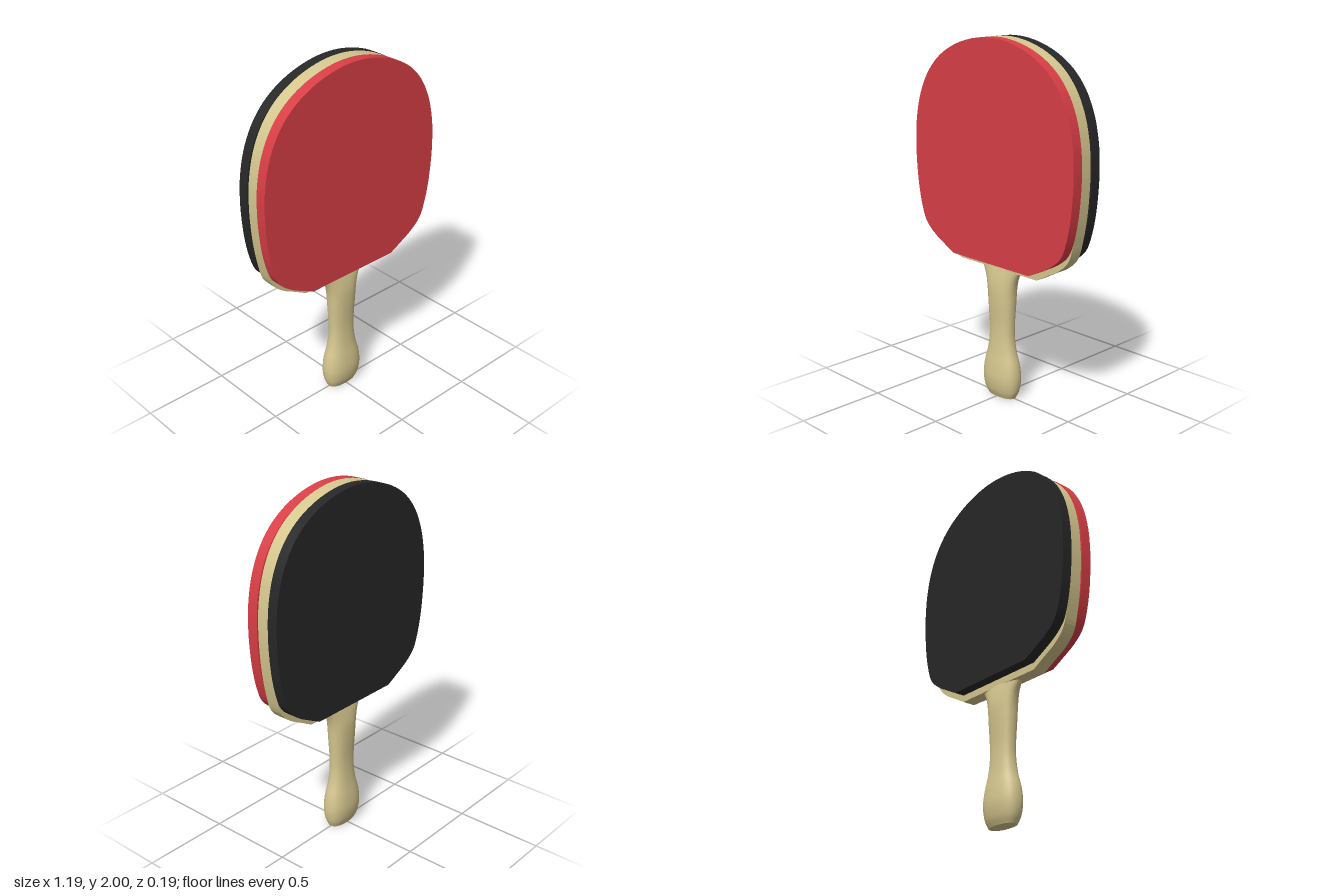
import * as THREE from 'three';

const mat = (name, color) => {
  const m = new THREE.MeshStandardMaterial({ color });
  m.name = name;
  return m;
};

// Symmetric outline: a smooth curve over the top, closed by a straight bottom edge
function outline(half) {
  const pts = [
    ...half.map(([x, y]) => new THREE.Vector2(x, y)),
    ...half.slice(0, -1).reverse().map(([x, y]) => new THREE.Vector2(-x, y)),
  ];
  return new THREE.Shape(new THREE.SplineCurve(pts).getPoints(120));
}

function plate(name, shape, z0, z1, material) {
  const geo = new THREE.ExtrudeGeometry(shape, { depth: z1 - z0, bevelEnabled: false });
  geo.translate(0, 0, z0);
  const mesh = new THREE.Mesh(geo, material);
  mesh.name = name;
  return mesh;
}

// Handle: rounded oval sections swept up a curved profile of [half width, y, half depth]
function handleGeometry() {
  const sections = [
    [0.095, 0, 0.045], [0.113, 0.04, 0.062], [0.123, 0.11, 0.073], [0.115, 0.19, 0.068],
    [0.093, 0.27, 0.057], [0.081, 0.35, 0.051], [0.081, 0.43, 0.05], [0.088, 0.55, 0.056],
    [0.096, 0.64, 0.057], [0.113, 0.7, 0.05], [0.15, 0.765, 0.037],
  ];
  const curve = new THREE.CatmullRomCurve3(sections.map((s) => new THREE.Vector3(...s)));
  const rows = 40, sides = 40;
  const geo = new THREE.CylinderGeometry(1, 1, 1, sides, rows);
  const pos = geo.attributes.position;
  const soften = (v) => Math.sign(v) * Math.pow(Math.abs(v), 0.85);
  for (let i = 0; i < pos.count; i++) {
    const p = curve.getPoint(THREE.MathUtils.clamp(pos.getY(i) + 0.5, 0, 1));
    pos.setXYZ(i, soften(pos.getX(i)) * p.x, p.y, soften(pos.getZ(i)) * p.z);
  }
  geo.computeVertexNormals();
  // Match normals where the side wall closes on itself
  const n = geo.attributes.normal;
  for (let r = 0; r <= rows; r++) {
    const a = r * (sides + 1), b = a + sides;
    const v = new THREE.Vector3().fromBufferAttribute(n, a)
      .add(new THREE.Vector3().fromBufferAttribute(n, b)).normalize();
    n.setXYZ(a, v.x, v.y, v.z);
    n.setXYZ(b, v.x, v.y, v.z);
  }
  return geo;
}

export function createModel() {
  const group = new THREE.Group();
  group.name = 'tableTennisBat';
  const wood = mat('wood', 0xd6c78f);
  const red = mat('redRubber', 0xd93e46);
  const black = mat('blackRubber', 0x272727);

  // Rubber and blade share the upper curve; the blade reaches a little lower
  const top = [
    [0.592, 1.4], [0.582, 1.52], [0.55, 1.65], [0.49, 1.77],
    [0.4, 1.868], [0.28, 1.94], [0.14, 1.985], [0, 2],
  ];
  const rubber = outline([
    [0.29, 0.79], [0.37, 0.831], [0.45, 0.876], [0.515, 0.935], [0.55, 1.02],
    [0.576, 1.14], [0.59, 1.28], ...top,
  ]);
  const blade = outline([
    [0.29, 0.752], [0.37, 0.796], [0.45, 0.84], [0.515, 0.905], [0.547, 1.01],
    [0.57, 1.14], [0.582, 1.28], ...top.map(([x, y]) => [x * 0.985, y]),
  ]);

  group.add(
    plate('blade', blade, -0.038, 0.036, wood),
    plate('frontRubber', rubber, 0.036, 0.097, red),
    plate('backRubber', rubber, -0.097, -0.038, black),
  );

  const handle = new THREE.Mesh(handleGeometry(), wood);
  handle.name = 'handle';
  group.add(handle);
  return group;
}
